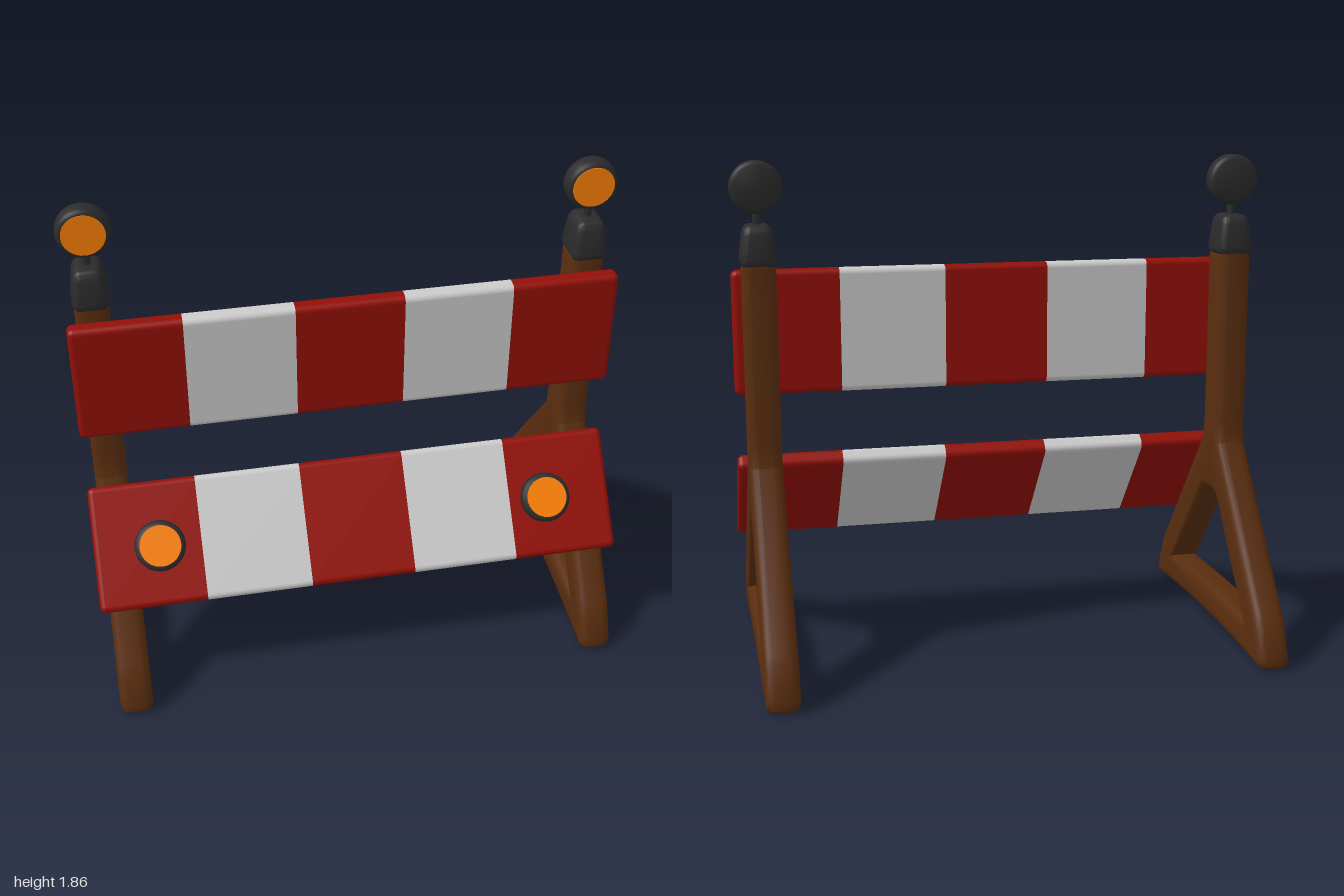
import * as THREE from 'three';
import { RoundedBoxGeometry } from 'three/addons/geometries/RoundedBoxGeometry.js';
import { toCreasedNormals } from 'three/addons/utils/BufferGeometryUtils.js';

const material = (color) => new THREE.MeshStandardMaterial({ color });
const wood = material(0x592d0f);
const red = material(0x930f07);
const white = material(0xcccccc);
const dark = material(0x2b2b2b);
const amber = material(0xfa8003);

function addMesh(parent, name, geometry, mat) {
  const mesh = new THREE.Mesh(geometry, mat);
  mesh.name = name;
  parent.add(mesh);
  return mesh;
}

// A-shaped side frame: post, two splayed legs and an arched foot bar
function frameGeometry() {
  const side = [[0.079, 1.5], [0.08, 0.84], [0.09, 0.75], [0.53, 0.195], [0.555, 0.15], [0.597, 0.05], [0.595, 0.02], [0.575, 0.003]];
  const shape = new THREE.Shape();
  shape.moveTo(...side[0]);
  side.slice(1).forEach((p) => shape.lineTo(...p));
  shape.quadraticCurveTo(0, 0.045, -0.575, 0.003);
  side.slice(0, -1).reverse().forEach(([z, y]) => shape.lineTo(-z, y));
  shape.closePath();

  // Opening, wound opposite to the outline
  const hole = new THREE.Path();
  hole.moveTo(-0.405, 0.135);
  hole.quadraticCurveTo(0, 0.163, 0.405, 0.135);
  hole.lineTo(0.075, 0.535);
  hole.quadraticCurveTo(0, 0.55, -0.075, 0.535);
  hole.closePath();
  shape.holes.push(hole);

  const bevel = 0.033;
  const geometry = new THREE.ExtrudeGeometry(shape, {
    depth: 0.122 - 2 * bevel, bevelThickness: bevel, bevelSize: bevel,
    bevelOffset: -bevel, bevelSegments: 3, curveSegments: 8,
  });
  geometry.translate(0, 0, bevel - 0.061);
  geometry.rotateY(-Math.PI / 2);
  return toCreasedNormals(geometry, 0.6);
}

// Rounded post cap that narrows towards its top
function capGeometry() {
  const geometry = new RoundedBoxGeometry(0.132, 0.16, 0.17, 4, 0.035);
  const p = geometry.attributes.position;
  for (let i = 0; i < p.count; i++) {
    const s = 1 - 0.18 * THREE.MathUtils.clamp((p.getY(i) + 0.04) / 0.1, 0, 1);
    p.setX(i, p.getX(i) * s);
    p.setZ(i, p.getZ(i) * s);
  }
  return toCreasedNormals(geometry, 0.6);
}

// Round lamp facing +z: dark housing with an amber lens
function makeLamp(name, thickness) {
  const lamp = new THREE.Group();
  lamp.name = name;
  const h = thickness / 2;
  const profile = [[0, -h], [0.079, -h], [0.09, -h + 0.006], [0.095, -h + 0.018],
    [0.095, h - 0.018], [0.09, h - 0.006], [0.079, h], [0, h]];
  const housing = new THREE.LatheGeometry(profile.map((p) => new THREE.Vector2(...p)), 32);
  addMesh(lamp, 'lampHousing', toCreasedNormals(housing.rotateX(Math.PI / 2), 0.7), dark);
  const lens = new THREE.CylinderGeometry(0.077, 0.077, 0.006, 32);
  addMesh(lamp, 'lampLens', lens.rotateX(Math.PI / 2).translate(0, 0, h), amber);
  return lamp;
}

// Board of five striped panels, each a slice of one rounded plank
function makeBoard(name) {
  const board = new THREE.Group();
  board.name = name;
  const cuts = [-0.995, -0.595, -0.198, 0.198, 0.597, 0.995];
  for (let n = 0; n < 5; n++) {
    const geometry = new RoundedBoxGeometry(1.99, 0.467, 0.066, 4, 0.022);
    const p = geometry.attributes.position;
    for (let i = 0; i < p.count; i++) {
      p.setX(i, THREE.MathUtils.clamp(p.getX(i), cuts[n], cuts[n + 1]));
    }
    addMesh(board, n % 2 ? 'whitePanel' : 'redPanel', geometry, n % 2 ? white : red);
  }
  return board;
}

export function createModel() {
  const model = new THREE.Group();
  model.name = 'roadBarrier';

  // Side supports with warning lamps
  for (const [side, sign] of [['left', 1], ['right', -1]]) {
    const support = new THREE.Group();
    support.name = side + 'Support';
    support.position.x = sign * 0.9;
    addMesh(support, 'frame', frameGeometry(), wood);
    addMesh(support, 'postCap', capGeometry(), dark).position.y = 1.554;
    addMesh(support, 'lampStem', new THREE.CylinderGeometry(0.015, 0.015, 0.1, 12), dark).position.y = 1.655;
    const lamp = makeLamp('topLamp', 0.074);
    lamp.position.y = 1.765;
    support.add(lamp);
    model.add(support);
  }

  // Upright upper board
  const upper = makeBoard('upperBoard');
  upper.position.set(0, 1.221, 0.118);
  model.add(upper);

  // Tilted lower board with two lamps on its face
  const lower = makeBoard('lowerBoard');
  lower.position.set(0, 0.556, 0.267);
  lower.rotation.x = THREE.MathUtils.degToRad(-40);
  for (const x of [-0.75, 0.735]) {
    const lamp = makeLamp('boardLamp', 0.056);
    lamp.position.set(x, -0.01, 0.044);
    lower.add(lamp);
  }
  model.add(lower);
  return model;
}
